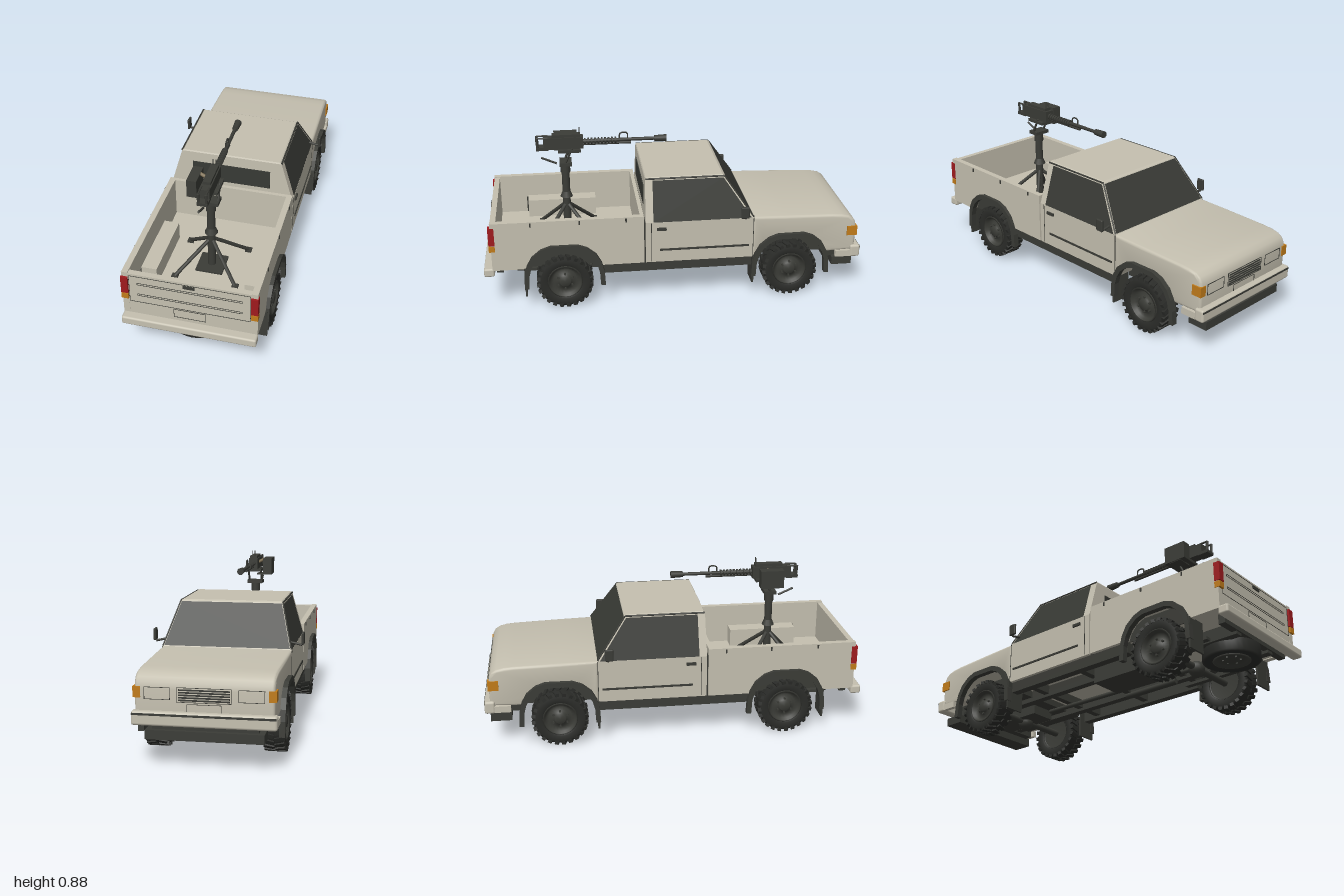
import * as THREE from 'three';
import { mergeGeometries, toCreasedNormals } from 'three/addons/utils/BufferGeometryUtils.js';
import { RoundedBoxGeometry } from 'three/addons/geometries/RoundedBoxGeometry.js';
import { ConvexGeometry } from 'three/addons/geometries/ConvexGeometry.js';

const mat = (name, color, extra = {}) => Object.assign(new THREE.MeshStandardMaterial({ color, ...extra }), { name });
const V = (a) => new THREE.Vector3(...a);

export function createModel() {
  const truck = new THREE.Group();
  truck.name = 'pickupTruck';
  const paint = mat('bodyPaint', 0xc5c0b0);
  const trim = mat('darkTrim', 0x3b3c37);
  const glass = mat('darkGlass', 0x383a35, { side: THREE.DoubleSide });
  const rubber = mat('rubber', 0x2b2c29);
  const red = mat('redLens', 0xa01a1e);
  const amber = mat('amberLens', 0xc27c1a);
  const brass = mat('feedBelt', 0x85765a);

  const add = (name, geo, m, parent = truck) => {
    const mesh = new THREE.Mesh(geo, m);
    mesh.name = name;
    parent.add(mesh);
    return mesh;
  };
  // box given by its x, y and z ranges
  const box = (name, m, [x0, x1], [y0, y1], [z0, z1], parent) =>
    add(name, new THREE.BoxGeometry(x1 - x0, y1 - y0, z1 - z0)
      .translate((x0 + x1) / 2, (y0 + y1) / 2, (z0 + z1) / 2), m, parent);
  const soft = (name, m, [x0, x1], [y0, y1], [z0, z1], r) =>
    add(name, new RoundedBoxGeometry(x1 - x0, y1 - y0, z1 - z0, 2, r)
      .translate((x0 + x1) / 2, (y0 + y1) / 2, (z0 + z1) / 2), m);
  const pair = (name, m, [x0, x1], y, z) => {
    box(name, m, [x0, x1], y, z);
    box(name, m, [-x1, -x0], y, z);
  };
  // round bar between two points
  const bar = (name, m, a, b, r, r2 = r, parent = truck, sides = 12) => {
    const d = V(b).sub(V(a));
    const mesh = add(name, new THREE.CylinderGeometry(r2, r, d.length(), sides), m, parent);
    mesh.position.copy(V(a).add(V(b)).multiplyScalar(0.5));
    mesh.quaternion.setFromUnitVectors(new THREE.Vector3(0, 1, 0), d.normalize());
    return mesh;
  };
  // outline in (z, y) extruded between two x values
  const profile = (pts, x0, x1, bevel = 0) => {
    const shape = new THREE.Shape(pts.map((p) => new THREE.Vector2(...p)));
    return new THREE.ExtrudeGeometry(shape, {
      depth: x1 - x0 - 2 * bevel, bevelEnabled: bevel > 0, bevelSize: bevel,
      bevelThickness: bevel, bevelOffset: -bevel, bevelSegments: 3,
    }).rotateY(-Math.PI / 2).translate(x1 - bevel, 0, 0);
  };
  const quad = (name, m, pts) => {
    const g = new THREE.BufferGeometry().setFromPoints(pts.map(V));
    g.setIndex([0, 1, 2, 0, 2, 3]);
    g.computeVertexNormals();
    add(name, g, m);
  };
  // thin rectangular seam on a face of constant z
  const outline = (name, [x0, x1], [y0, y1], z, t = 0.002) => {
    for (const x of [x0, x1]) box(name, trim, [x - t / 2, x + t / 2], [y0, y1], [z - 0.002, z + 0.002]);
    for (const y of [y0, y1]) box(name, trim, [x0, x1], [y - t / 2, y + t / 2], [z - 0.002, z + 0.002]);
  };

  const rearZ = 0.585, frontZ = -0.615, hubY = 0.148;
  const arch = (z) => [[0.185, 0.235], [0.168, 0.275], [0.135, 0.315], [0.088, 0.337],
    [-0.088, 0.337], [-0.135, 0.315], [-0.168, 0.275], [-0.185, 0.235]].map(([dz, y]) => [z + dz, y]);

  // nose with wheel arches, narrowing slightly forward
  let nose = profile([[-0.41, 0.235], ...arch(frontZ), [-0.97, 0.24], [-0.973, 0.37], [-0.968, 0.4], [-0.955, 0.422],
    [-0.93, 0.438], [-0.89, 0.447], [-0.84, 0.451], [-0.6, 0.458], [-0.41, 0.462]], -0.336, 0.336, 0.014);
  const np = nose.attributes.position;
  for (let i = 0; i < np.count; i++) np.setX(i, np.getX(i) * (1 + 0.05 * Math.min(0, np.getZ(i) + 0.41)));
  nose = toCreasedNormals(nose, 0.6);
  add('nose', nose, paint);
  box('engineBay', trim, [-0.23, 0.23], [0.2, 0.37], [-0.82, -0.41]);

  // cab
  box('cabLower', paint, [-0.335, 0.335], [0.235, 0.462], [-0.412, 0.158]);
  const cabX = (y) => 0.333 - (y - 0.46) * 0.289;
  const corners = [];
  for (const s of [-1, 1]) {
    for (const [y, z0, z1, inset] of [[0.46, -0.415, 0.158, 0], [0.679, -0.264, 0.154, 0], [0.686, -0.252, 0.15, 0.008]])
      corners.push([s * (cabX(y) - inset), y, z0], [s * (cabX(y) - inset), y, z1]);
    const p = (y, z, o = 0.002) => [s * (cabX(y) + o), y, z];
    quad('sideWindow', glass, [p(0.462, 0.118), p(0.672, 0.115), p(0.672, -0.256), p(0.462, -0.4)]);
    bar('roofGutter', trim, p(0.68, 0.152, 0), p(0.68, -0.262, 0), 0.005, 0.005, truck, 6);
    bar('frontPillarTrim', trim, p(0.68, -0.262, 0), p(0.465, -0.412, 0), 0.004, 0.004, truck, 6);
  }
  add('cabUpper', new ConvexGeometry(corners.map(V)), paint);
  quad('windshield', glass, [[-0.325, 0.466, -0.4125], [0.325, 0.466, -0.4125], [0.264, 0.676, -0.2675], [-0.264, 0.676, -0.2675]]);
  box('rearWindow', glass, [-0.21, 0.21], [0.517, 0.622], [0.15, 0.16]);
  pair('doorRearSeam', trim, [0.333, 0.3365], [0.24, 0.46], [0.127, 0.13]);
  pair('doorFrontSeam', trim, [0.333, 0.3365], [0.24, 0.46], [-0.413, -0.41]);
  pair('doorMoulding', trim, [0.334, 0.34], [0.3, 0.31], [-0.39, 0.085]);
  pair('doorHandle', trim, [0.334, 0.344], [0.417, 0.432], [0.05, 0.1]);
  box('cabBedGap', trim, [-0.32, 0.32], [0.235, 0.46], [0.15, 0.175]);

  // side mirrors
  for (const s of [-1, 1]) {
    bar('mirrorArm', trim, [s * 0.325, 0.492, -0.36], [s * 0.38, 0.48, -0.36], 0.006);
    const m = soft('mirror', trim, [-0.007, 0.007], [-0.032, 0.032], [-0.022, 0.022], 0.006);
    m.position.set(s * 0.385, 0.514, -0.355);
  }

  // cargo bed
  for (const [x0, x1] of [[0.305, 0.336], [-0.336, -0.305]])
    add('bedSide', profile([[0.955, 0.235], [0.955, 0.5], [0.167, 0.5], [0.167, 0.235],
      ...arch(rearZ).reverse()], x0, x1), paint);
  box('bedFloor', paint, [-0.306, 0.306], [0.24, 0.28], [0.167, 0.95]);
  box('bedFrontWall', paint, [-0.306, 0.306], [0.235, 0.5], [0.167, 0.187]);
  box('tailgate', paint, [-0.306, 0.306], [0.235, 0.495], [0.925, 0.954]);
  pair('wheelWell', paint, [0.225, 0.305], [0.277, 0.378], [0.39, 0.77]);
  pair('wheelWellLiner', trim, [0.304, 0.309], [0.235, 0.37], [0.39, 0.78]);
  outline('tailgateSeam', [-0.3, 0.3], [0.323, 0.483], 0.954);
  for (const y of [0.37, 0.438]) outline('tailgateRib', [-0.26, 0.26], [y - 0.005, y + 0.005], 0.954);
  outline('rearPlate', [-0.08, 0.08], [0.267, 0.315], 0.954);
  box('tailgateHandle', trim, [-0.028, 0.028], [0.463, 0.479], [0.953, 0.96]);
  for (const z of [0.26, 0.5, 0.75]) pair('tieHook', trim, [0.333, 0.34], [0.475, 0.495], [z - 0.004, z + 0.004]);
  pair('tailLight', red, [0.304, 0.339], [0.378, 0.476], [0.935, 0.966]);
  pair('rearIndicator', amber, [0.304, 0.339], [0.343, 0.374], [0.935, 0.966]);
  soft('rearBumper', paint, [-0.338, 0.338], [0.2, 0.246], [0.945, 1], 0.01);

  // nose details
  soft('frontBumper', paint, [-0.34, 0.34], [0.2, 0.268], [-1, -0.945], 0.012);
  pair('bumperEnd', paint, [0.315, 0.338], [0.205, 0.24], [-0.95, -0.865]);
  box('bumperStrip', trim, [-0.335, 0.335], [0.25, 0.26], [-1.001, -0.96]);
  box('lowerValance', trim, [-0.28, 0.28], [0.13, 0.175], [-0.975, -0.865]);
  box('valanceMount', trim, [-0.25, 0.25], [0.17, 0.238], [-0.95, -0.82]);
  pair('frontIndicator', amber, [0.298, 0.334], [0.328, 0.38], [-0.977, -0.922]);
  for (let i = 0; i < 5; i++) box('grilleSlot', trim, [-0.12, 0.12], [0.318 + i * 0.012, 0.325 + i * 0.012], [-0.976, -0.968]);
  outline('grilleFrame', [-0.128, 0.128], [0.312, 0.38], -0.973);
  for (const s of [-1, 1]) outline('headlightFrame', [s * 0.22 - 0.06, s * 0.22 + 0.06], [0.322, 0.378], -0.973);
  outline('frontPlate', [-0.08, 0.08], [0.262, 0.303], -0.972);

  // fender flares and mud flaps
  const outer = [[0.212, 0.125], [0.208, 0.2], [0.195, 0.255], [0.168, 0.305], [0.12, 0.345], [0.07, 0.363]];
  const inner = [[0.065, 0.336], [0.106, 0.322], [0.147, 0.287], [0.171, 0.245], [0.183, 0.2], [0.187, 0.125]];
  const flip = (a) => a.map(([z, y]) => [-z, y]).reverse();
  for (const zc of [rearZ, frontZ])
    for (const [x0, x1] of [[0.325, 0.355], [-0.355, -0.325]])
      add('fenderFlare', profile([...outer, ...flip(outer), ...flip(inner), ...inner].map(([z, y]) => [z + zc, y]), x0, x1), trim);
  pair('rearMudFlap', trim, [0.24, 0.347], [0.08, 0.24], [0.783, 0.793]);
  pair('frontMudFlap', trim, [0.24, 0.347], [0.085, 0.24], [-0.418, -0.408]);

  // wheels: tyre, tread lugs and dished rim, spun about the y axis then laid over
  const tyre = new THREE.LatheGeometry([[0.085, -0.04], [0.1, -0.049], [0.128, -0.05], [0.14, -0.042], [0.141, 0.042],
    [0.128, 0.05], [0.1, 0.049], [0.085, 0.04]].map((p) => new THREE.Vector2(...p)), 32);
  const lugs = [];
  for (let i = 0; i < 24; i++)
    for (const s of [-1, 1])
      lugs.push(new THREE.BoxGeometry(0.018, 0.05, 0.02).rotateX(s * 0.3).translate(0.139, s * 0.027, 0)
        .rotateY((i + (s > 0 ? 0.5 : 0)) * Math.PI / 12));
  const lugGeo = mergeGeometries(lugs);
  const rim = new THREE.LatheGeometry([[0, -0.035], [0.085, -0.035], [0.092, -0.046], [0.092, 0.046], [0.084, 0.05], [0.078, 0.03],
    [0.06, 0.02], [0.045, 0.034], [0.032, 0.034], [0.028, 0.048], [0, 0.048]].map((p) => new THREE.Vector2(...p)), 24);
  const nuts = mergeGeometries([...Array(6)].map((_, i) =>
    new THREE.CylinderGeometry(0.006, 0.006, 0.016, 6).translate(0.042, 0.036, 0).rotateY(i * Math.PI / 3)));
  const wheel = (name, lugged) => {
    const g = new THREE.Group();
    g.name = name;
    add('tyre', tyre, rubber, g);
    if (lugged) add('treadLugs', lugGeo, rubber, g);
    add('rim', rim, trim, g);
    add('wheelNuts', nuts, trim, g);
    truck.add(g);
    return g;
  };
  for (const z of [rearZ, frontZ]) {
    for (const s of [-1, 1]) {
      const w = wheel(z > 0 ? 'rearWheel' : 'frontWheel', true);
      w.position.set(s * 0.291, hubY, z);
      w.rotation.z = -s * Math.PI / 2;
    }
    bar('axle', trim, [-0.26, hubY, z], [0.26, hubY, z], 0.018);
    add('differential', new THREE.SphereGeometry(0.042, 16, 12), trim).position.set(0, 0.143, z);
  }
  const spare = wheel('spareWheel', false);
  spare.position.set(0, 0.16, 0.795);
  spare.scale.set(1.03, 0.75, 1.03);
  spare.rotation.x = Math.PI;

  // chassis
  pair('frameRail', trim, [0.12, 0.16], [0.175, 0.241], [-0.88, 0.93]);
  pair('rocker', trim, [0.275, 0.318], [0.178, 0.236], [-0.42, 0.4]);
  for (const z of [-0.3, 0.05, 0.42, 0.92]) box('crossMember', trim, [-0.27, 0.27], [0.19, 0.241], [z - 0.018, z + 0.018]);
  box('fuelTank', trim, [-0.19, 0.0], [0.145, 0.235], [0.07, 0.39]);
  box('oilPan', trim, [-0.07, 0.07], [0.15, 0.22], [-0.78, -0.48]);
  bar('driveShaft', trim, [0.03, 0.18, -0.45], [0, 0.15, 0.57], 0.012);
  bar('exhaustPipe', trim, [0.08, 0.155, 0.4], [0.08, 0.155, 0.07], 0.014);
  pair('leafSpring', trim, [0.19, 0.22], [0.165, 0.18], [0.38, 0.8]);

  // gun mount standing on the bed floor
  const mount = new THREE.Group();
  mount.name = 'gunMount';
  truck.add(mount);
  const pz = 0.555, gy = 0.805;
  box('basePlate', trim, [-0.07, 0.07], [0.279, 0.289], [pz - 0.07, pz + 0.07], mount);
  bar('post', trim, [0, 0.285, pz], [0, 0.64, pz], 0.021, 0.021, mount);
  bar('postSkirt', trim, [0, 0.495, pz], [0, 0.525, pz], 0.034, 0.021, mount);
  bar('postCollar', trim, [0, 0.635, pz], [0, 0.682, pz], 0.026, 0.026, mount);
  box('swivelPlate', trim, [-0.045, 0.045], [0.682, 0.7], [pz - 0.035, pz + 0.03], mount);
  for (const sx of [-1, 1]) {
    for (const z of [0.405, 0.695]) {
      bar('strut', trim, [0, 0.46, pz], [sx * 0.155, 0.29, z], 0.01, 0.01, mount, 8);
      box('strutFoot', trim, [sx * 0.157 - 0.016, sx * 0.157 + 0.016], [0.279, 0.291], [z - 0.016, z + 0.016], mount);
    }
    bar('cradleArm', trim, [sx * 0.037, 0.695, pz], [sx * 0.037, 0.78, 0.515], 0.006, 0.006, mount, 8);
    bar('gripHandle', trim, [sx * 0.02, 0.77, 0.695], [sx * 0.02, 0.835, 0.7], 0.007, 0.007, mount, 8);
    bar('gripBar', trim, [sx * 0.02, 0.835, 0.7], [sx * 0.02, 0.835, 0.64], 0.005, 0.005, mount, 8);
  }
  box('cradle', trim, [-0.046, 0.046], [0.757, 0.772], [0.47, 0.59], mount);
  bar('elevationLever', trim, [-0.026, 0.675, 0.6], [-0.026, 0.71, 0.68], 0.006, 0.006, mount, 8);

  // gun
  box('receiver', trim, [-0.026, 0.026], [0.772, 0.835], [0.455, 0.665], mount);
  box('feedCover', trim, [-0.02, 0.02], [0.83, 0.85], [0.47, 0.62], mount);
  box('backPlate', trim, [-0.027, 0.027], [0.768, 0.785], [0.64, 0.705], mount);
  box('ammoBox', trim, [-0.105, -0.055], [0.738, 0.834], [0.485, 0.61], mount);
  box('ammoBracket', trim, [-0.1, -0.015], [0.735, 0.742], [0.51, 0.58], mount);
  bar('feedBelt', brass, [-0.058, 0.828, 0.53], [-0.024, 0.81, 0.53], 0.009, 0.009, mount, 8);
  bar('barrel', trim, [0, gy, 0.47], [0, gy, 0.02], 0.01, 0.009, mount);
  for (let i = 0; i < 10; i++) bar('coolingRing', trim, [0, gy, 0.45 - i * 0.018], [0, gy, 0.441 - i * 0.018], 0.017, 0.017, mount);
  bar('gasTube', trim, [0, 0.788, 0.46], [0, 0.788, 0.2], 0.007, 0.007, mount, 8);
  bar('muzzleBrake', trim, [0, gy, 0.075], [0, gy, 0.01], 0.016, 0.019, mount);
  for (const x of [-0.008, 0.008]) bar('rearSight', trim, [x, 0.845, 0.474], [x, 0.882, 0.474], 0.0025, 0.0025, mount, 6);
  add('carryHandle', new THREE.TubeGeometry(new THREE.CatmullRomCurve3([[0, 0.805, 0.262], [0, 0.84, 0.258],
    [0, 0.842, 0.222], [0, 0.805, 0.218]].map(V)), 16, 0.004, 6), trim, mount);
  return truck;
}
